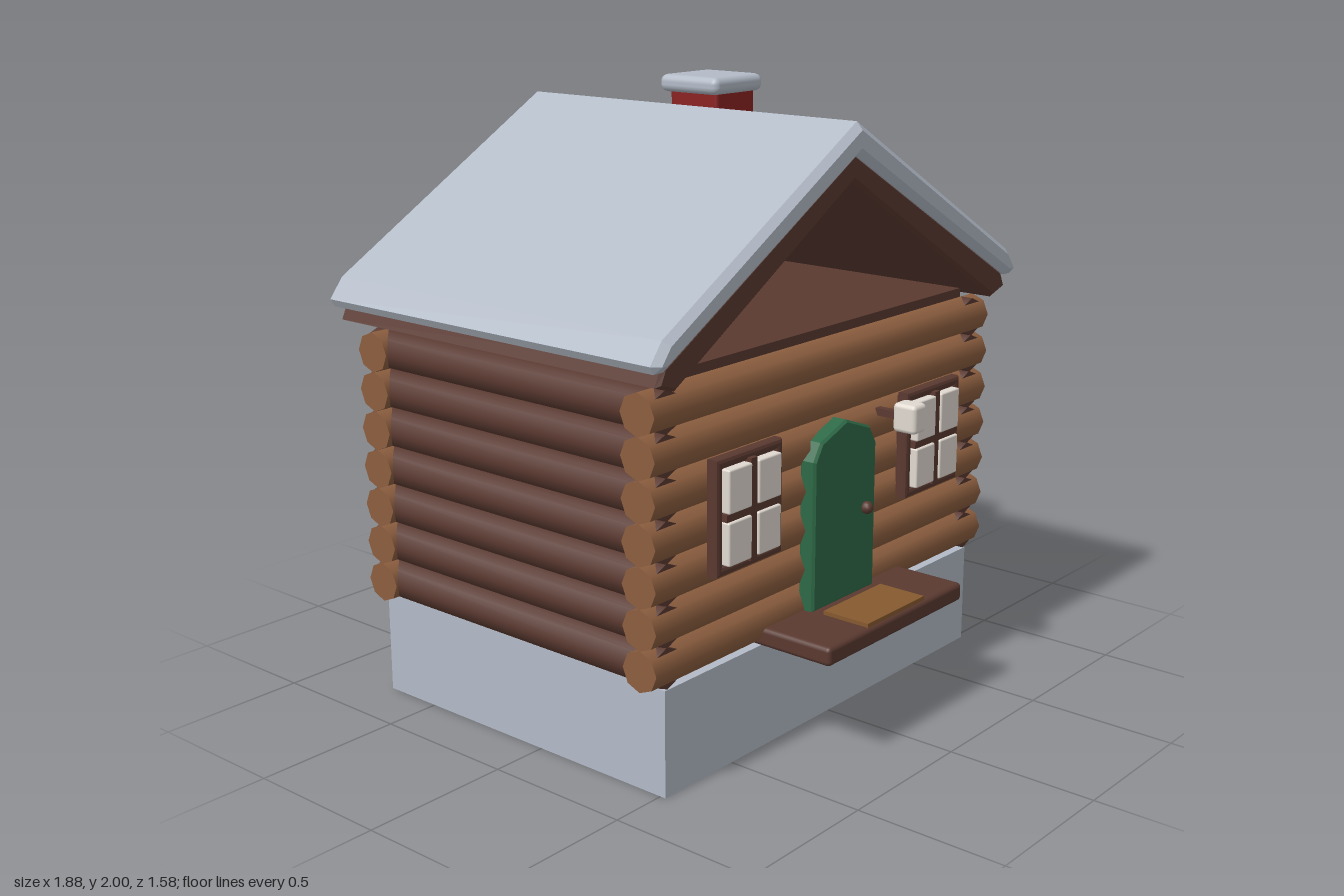
import * as THREE from 'three';
import { RoundedBoxGeometry } from 'three/addons/geometries/RoundedBoxGeometry.js';

const material = (name, color) => {
  const m = new THREE.MeshStandardMaterial({ color });
  m.name = name;
  return m;
};

export function createModel() {
  const model = new THREE.Group();
  model.name = 'logCabin';

  const stone = material('stone grey', 0xb3bbc7);
  const log = material('log brown', 0x8c5e3f);
  const dark = material('dark brown', 0x5a3930);
  const green = material('door green', 0x2d6947);
  const red = material('chimney red', 0x8a2222);
  const pale = material('pale glass', 0xe0d9d0);
  const mat = material('mat brown', 0x86592f);

  const add = (name, geometry, material, parent = model) => {
    const mesh = new THREE.Mesh(geometry, material);
    mesh.name = name;
    parent.add(mesh);
    return mesh;
  };
  // Boxes are given by their lower and upper limits on each axis
  const box = (name, [x0, x1], [y0, y1], [z0, z1], mtl, radius = 0, parent = model) => {
    const size = [x1 - x0, y1 - y0, z1 - z0];
    const geometry = radius
      ? new RoundedBoxGeometry(...size, 2, radius)
      : new THREE.BoxGeometry(...size);
    const mesh = add(name, geometry, mtl, parent);
    mesh.position.set((x0 + x1) / 2, (y0 + y1) / 2, (z0 + z1) / 2);
    return mesh;
  };

  // Foundation
  box('foundation', [-0.81, 0.81], [0, 0.345], [-0.71, 0.52], stone);

  // Stacked log walls
  const frontZ = 0.475, backZ = -0.66, midZ = -0.095;
  const longLog = new THREE.CylinderGeometry(0.066, 0.066, 1.74, 8).rotateZ(Math.PI / 2);
  const sideLog = new THREE.CylinderGeometry(0.066, 0.066, 1.23, 8).rotateX(Math.PI / 2);
  for (let i = 0; i < 7; i++) {
    const y = 0.413 + i * 0.1295;
    add('frontLog', longLog, log).position.set(0, y, frontZ);
    add('backLog', longLog, log).position.set(0, y, backZ);
    for (const s of [-1, 1]) add('sideLog', sideLog, dark).position.set(s * 0.798, y, midZ);
  }

  // Flat ceiling under the open attic
  box('ceiling', [-0.79, 0.79], [1.25, 1.287], [-0.66, 0.475], dark);

  // Roof layers: half profile mirrored about the ridge, extruded along z
  const roofLayer = (name, outer, inner, z0, z1, bevel, mtl) => {
    const shape = new THREE.Shape();
    const points = [
      ...outer.map(([x, y]) => [-x, y]).reverse(),
      ...outer.slice(1),
      ...inner,
      ...inner.slice(0, -1).reverse().map(([x, y]) => [-x, y]),
    ];
    shape.setFromPoints(points.map(([x, y]) => new THREE.Vector2(x, y)));
    const geometry = new THREE.ExtrudeGeometry(shape, {
      depth: z1 - z0 - 2 * bevel,
      bevelEnabled: true,
      bevelSegments: 1,
      bevelThickness: bevel,
      bevelSize: bevel,
      bevelOffset: -bevel,
    });
    add(name, geometry, mtl).position.z = z0 + bevel;
  };
  roofLayer('roof', [[0, 1.94], [0.89, 1.425], [0.94, 1.36]],
    [[0.925, 1.335], [0.885, 1.335], [0, 1.835]], -0.79, 0.61, 0.022, stone);
  roofLayer('roofLining', [[0, 1.845], [0.88, 1.345], [0.905, 1.29]],
    [[0.825, 1.265], [0, 1.755]], -0.77, 0.585, 0.012, dark);

  // Chimney
  box('chimney', [0.3, 0.505], [1.55, 1.96], [-0.42, -0.21], red, 0.012);
  box('chimneyCap', [0.272, 0.532], [1.94, 2.0], [-0.45, -0.19], stone, 0.025);

  // Windows, built facing +z around their own centre
  const makeWindow = (x, z, turn) => {
    const group = new THREE.Group();
    group.name = 'window';
    const frame = new THREE.Shape();
    const rect = (path, w, h) => path.moveTo(-w, -h).lineTo(w, -h).lineTo(w, h).lineTo(-w, h).closePath();
    rect(frame, 0.144, 0.17);
    const opening = new THREE.Path();
    rect(opening, 0.137, 0.163);
    frame.holes.push(opening);
    add('windowFrame', new THREE.ExtrudeGeometry(frame, {
      depth: 0.024, bevelThickness: 0.01, bevelSize: 0.012, bevelSegments: 2,
    }), dark, group).position.z = 0.01;
    box('windowBacking', [-0.137, 0.137], [-0.163, 0.163], [-0.01, 0.035], dark, 0, group);
    box('mullion', [-0.0145, 0.0145], [-0.16, 0.16], [0.03, 0.058], dark, 0, group);
    box('crossbar', [-0.126, 0.126], [-0.0115, 0.0115], [0.03, 0.058], dark, 0, group);
    for (const sx of [-1, 1]) for (const sy of [-1, 1]) {
      const pane = box('windowPane', [-0.054, 0.054], [-0.068, 0.068], [0.03, 0.065], pale, 0.006, group);
      pane.position.x = sx * 0.0695;
      pane.position.y = sy * 0.081;
    }
    group.position.set(x, 0.84, z);
    group.rotation.y = turn;
    model.add(group);
  };
  for (const s of [-1, 1]) {
    makeWindow(s * 0.488, 0.535, 0);
    makeWindow(s * 0.488, -0.722, Math.PI);
  }

  // Arched door and knob
  const door = new THREE.Shape([
    [-0.165, 0.405], [0.165, 0.405], [0.165, 0.9], [0.13, 0.957],
    [0, 1.005], [-0.13, 0.957], [-0.165, 0.9],
  ].map(([x, y]) => new THREE.Vector2(x, y)));
  add('door', new THREE.ExtrudeGeometry(door, {
    depth: 0.045, bevelThickness: 0.008, bevelSize: 0.008, bevelOffset: -0.008, bevelSegments: 1,
  }), green).position.z = 0.522;
  add('doorKnob', new THREE.SphereGeometry(0.021, 12, 8), dark).position.set(0.105, 0.69, 0.585);

  // Porch lamp
  box('lampBracket', [0.232, 0.258], [0.96, 0.985], [0.52, 0.61], dark);
  box('lamp', [0.208, 0.28], [0.925, 1.022], [0.602, 0.69], pale, 0.015);

  // Doorstep and mat
  box('doorstep', [-0.367, 0.367], [0.345, 0.407], [0.48, 0.79], dark, 0.015);
  box('doormat', [-0.155, 0.155], [0.405, 0.42], [0.61, 0.78], mat);

  return model;
}
